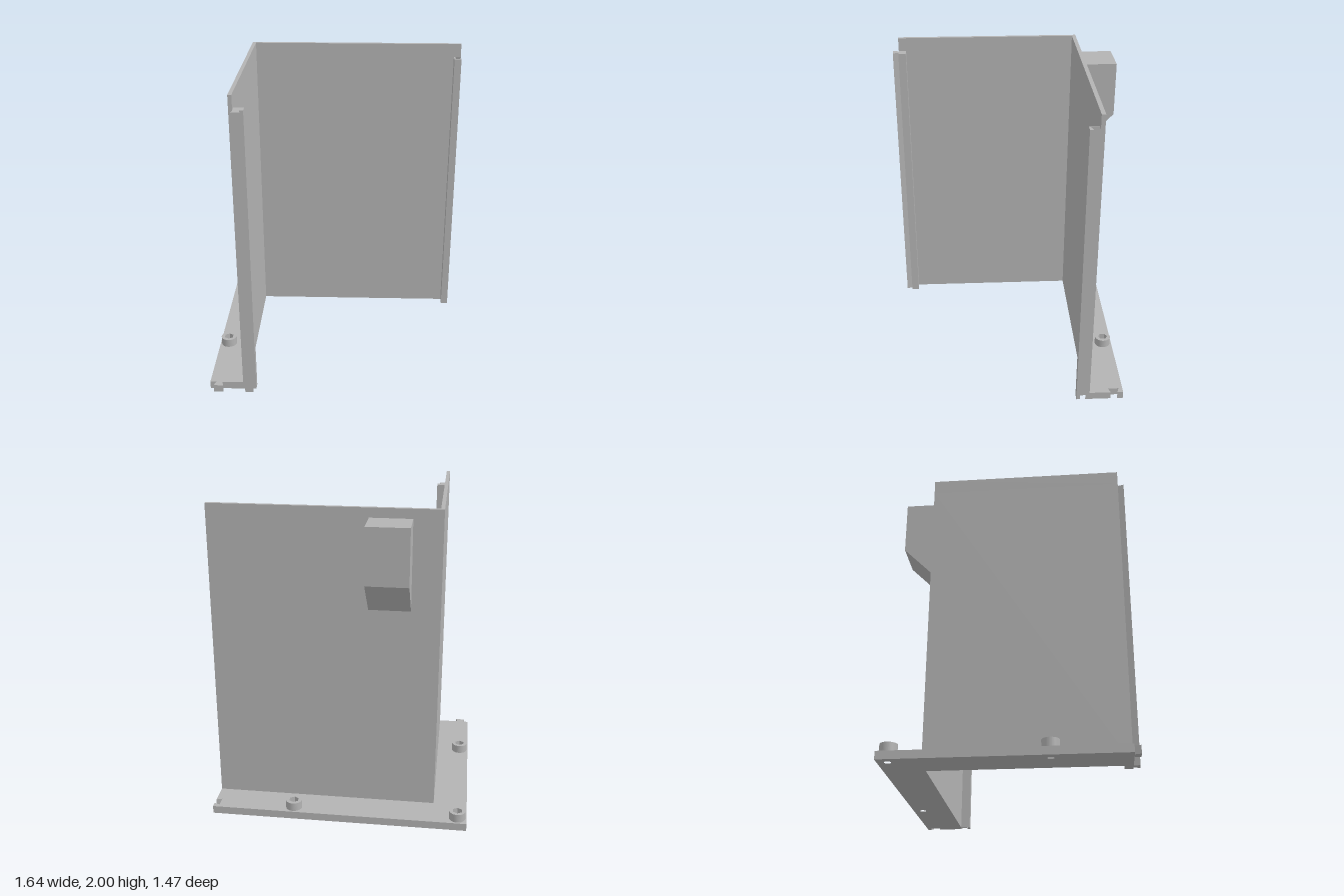
import * as THREE from 'three';

export function createModel() {
  const group = new THREE.Group();
  const grey = new THREE.MeshStandardMaterial({ color: 0xb3b3b3 });
  grey.name = 'light grey';

  const add = (name, geometry, parent = group) => {
    const mesh = new THREE.Mesh(geometry, grey);
    mesh.name = name;
    parent.add(mesh);
    return mesh;
  };

  // Plan outline given as [x, z] pairs, raised from y0 to y1, with round holes
  const raise = (points, y0, y1, holes = []) => {
    const shape = new THREE.Shape(points.map(([x, z]) => new THREE.Vector2(x, -z)));
    for (const [x, z, r] of holes) {
      shape.holes.push(new THREE.Path().absarc(x, -z, r, 0, Math.PI * 2, true));
    }
    return new THREE.ExtrudeGeometry(shape, { depth: y1 - y0, bevelEnabled: false, curveSegments: 16 })
      .rotateX(-Math.PI / 2)
      .translate(0, y0, 0);
  };

  // Two walls in an L with a grooved rail at one end and a dovetail rail at the other
  const railTop = 1.91;
  add('wallsWithRails', raise([
    [-0.605, -0.515], [0.817, -0.515],
    [0.817, -0.488], [0.78, -0.502], [0.78, -0.441], [0.817, -0.453],
    [0.817, -0.43], [0.77, -0.43], [0.77, -0.49],
    [-0.582, -0.49], [-0.582, 0.645], [-0.52, 0.645], [-0.52, 0.695],
    [-0.545, 0.695], [-0.535, 0.733], [-0.588, 0.733], [-0.578, 0.695], [-0.605, 0.695],
  ], 0, railTop));

  // Plain top strip of the walls, above the rails
  add('wallsTopStrip', raise([
    [-0.605, -0.515], [0.817, -0.515], [0.817, -0.49],
    [-0.582, -0.49], [-0.582, 0.695], [-0.605, 0.695],
  ], railTop, 2));

  // Base flange outside the walls with matching dovetail, groove and bolt holes
  const bolts = [[-0.76, -0.673], [0.292, -0.673], [-0.76, 0.238]];
  const flangeTop = 0.05;
  add('baseFlange', raise([
    [-0.82, -0.735], [0.817, -0.735],
    [0.817, -0.697], [0.78, -0.71], [0.78, -0.64], [0.817, -0.653],
    [0.817, -0.515], [-0.605, -0.515], [-0.605, 0.695],
    [-0.741, 0.695], [-0.73, 0.733], [-0.793, 0.733], [-0.781, 0.695], [-0.82, 0.695],
  ], 0, flangeTop, bolts.map(([x, z]) => [x, z, 0.02])));

  // Hollow bolt heads with a hexagonal socket
  const headShape = new THREE.Shape().absarc(0, 0, 0.052, 0, Math.PI * 2, false);
  const hexagon = [];
  for (let i = 0; i < 6; i++) {
    const a = -i * Math.PI / 3 + Math.PI / 6;
    hexagon.push(new THREE.Vector2(Math.cos(a) * 0.032, Math.sin(a) * 0.032));
  }
  headShape.holes.push(new THREE.Path(hexagon));
  const headGeometry = new THREE.ExtrudeGeometry(headShape, { depth: 0.055, bevelEnabled: false, curveSegments: 24 })
    .rotateX(-Math.PI / 2);
  bolts.forEach(([x, z], i) => {
    add(`boltHead${i + 1}`, headGeometry).position.set(x, flangeTop, z);
  });

  // Block on the back wall with a sloping underside
  const profile = new THREE.Shape([
    [0.514, 1.94], [0.735, 1.94], [0.735, 1.59], [0.514, 1.37],
  ].map(([z, y]) => new THREE.Vector2(z, y)));
  add('backBlock', new THREE.ExtrudeGeometry(profile, { depth: 0.26, bevelEnabled: false })
    .rotateY(Math.PI / 2)
    .translate(-0.425, 0, 0));

  return group;
}
